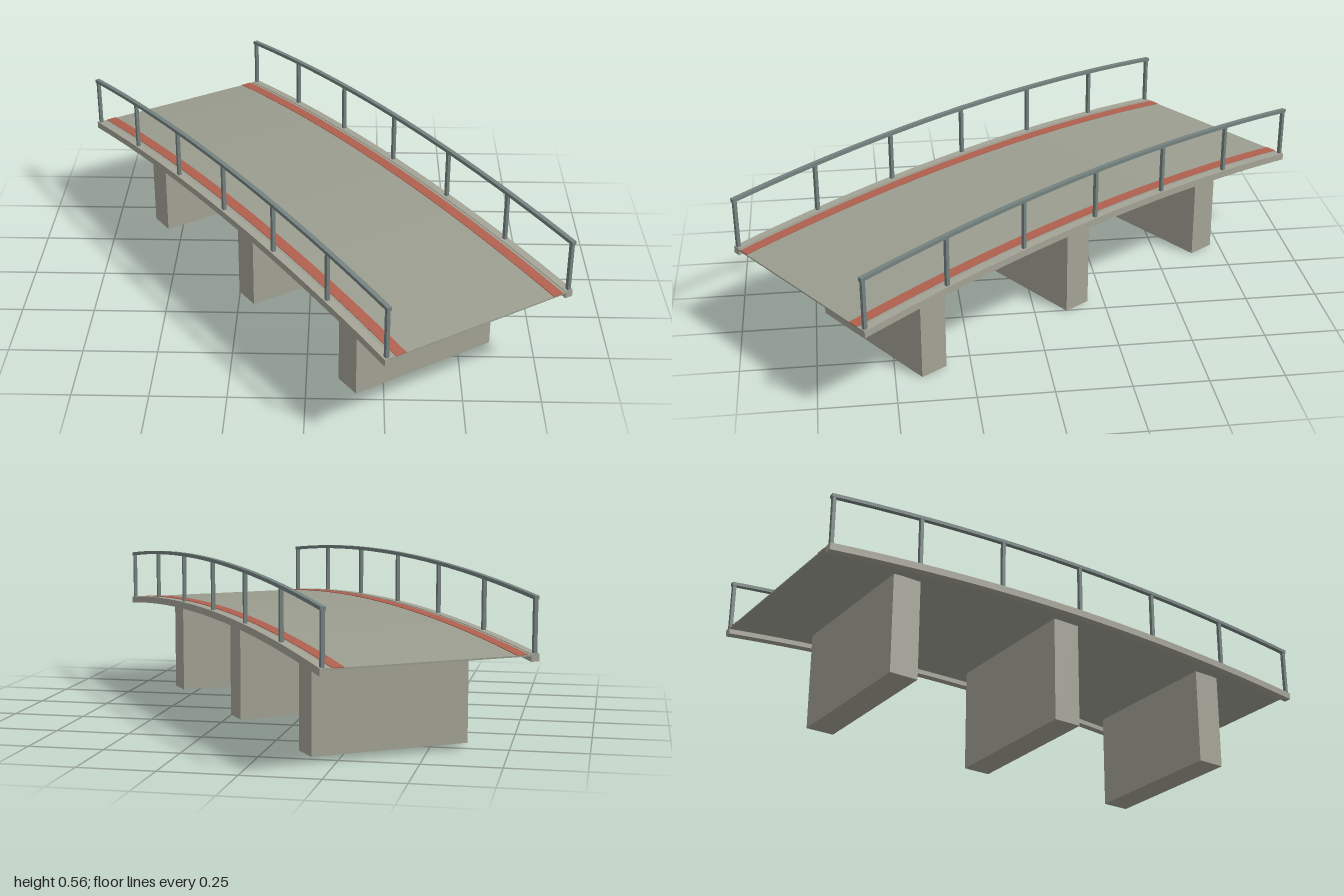
import * as THREE from 'three';

const HALF_LENGTH = 0.963, HALF_WIDTH = 0.363;
const SEGMENTS = 24;

// Height of the road surface along the bridge
const archY = (z) => 0.378 - 0.056 * (z / HALF_LENGTH) ** 2;

// Arched bar following the road, between two offsets from its surface
function archedBar(centreX, width, low, high) {
  const top = [], bottom = [];
  for (let i = 0; i <= SEGMENTS; i++) {
    const z = HALF_LENGTH * (2 * i / SEGMENTS - 1);
    top.push(new THREE.Vector2(z, archY(z) + high));
    bottom.push(new THREE.Vector2(z, archY(z) + low));
  }
  const shape = new THREE.Shape([...bottom, ...top.reverse()]);
  const geometry = new THREE.ExtrudeGeometry(shape, { depth: width, bevelEnabled: false });
  geometry.rotateY(Math.PI / 2);
  geometry.translate(centreX - width / 2, 0, 0);
  return geometry;
}

export function createModel() {
  const model = new THREE.Group();
  model.name = 'bridge';
  const paint = (color) => new THREE.MeshStandardMaterial({ color });
  const road = paint(0x9a9d8f), concrete = paint(0xa3a396);
  const steel = paint(0x74827f), red = paint(0xb0604e);

  const add = (name, geometry, material, x = 0, y = 0, z = 0) => {
    const mesh = new THREE.Mesh(geometry, material);
    mesh.name = name;
    mesh.position.set(x, y, z);
    model.add(mesh);
  };

  // Thin road deck
  add('deck', archedBar(0, 0.70, -0.005, 0), road);

  // Edge beams, painted stripes and railings on both sides
  const postHeight = 0.17;
  const post = new THREE.BoxGeometry(0.012, postHeight, 0.012);
  for (const side of [-1, 1]) {
    add('edgeBeam', archedBar(side * (HALF_WIDTH - 0.014), 0.028, -0.022, 0.002), concrete);
    add('stripe', archedBar(side * 0.304, 0.038, -0.001, 0.002), red);
    add('handrail', archedBar(side * 0.351, 0.016, 0.167, 0.179), steel);
    for (let i = 0; i < 7; i++) {
      const z = -0.954 + i * 0.318;
      add('railPost', post, steel, side * 0.351, archY(z) + postHeight / 2, z);
    }
  }

  // Three wall piers standing on the ground
  for (const z of [-0.635, 0, 0.635]) {
    const height = archY(Math.abs(z) + 0.05) - 0.003;
    add('pier', new THREE.BoxGeometry(0.543, height, 0.1), concrete, 0, height / 2, z);
  }

  // The bridge crosses its square at an angle
  model.rotation.y = 0.5976;
  const root = new THREE.Group();
  root.add(model);
  return root;
}
